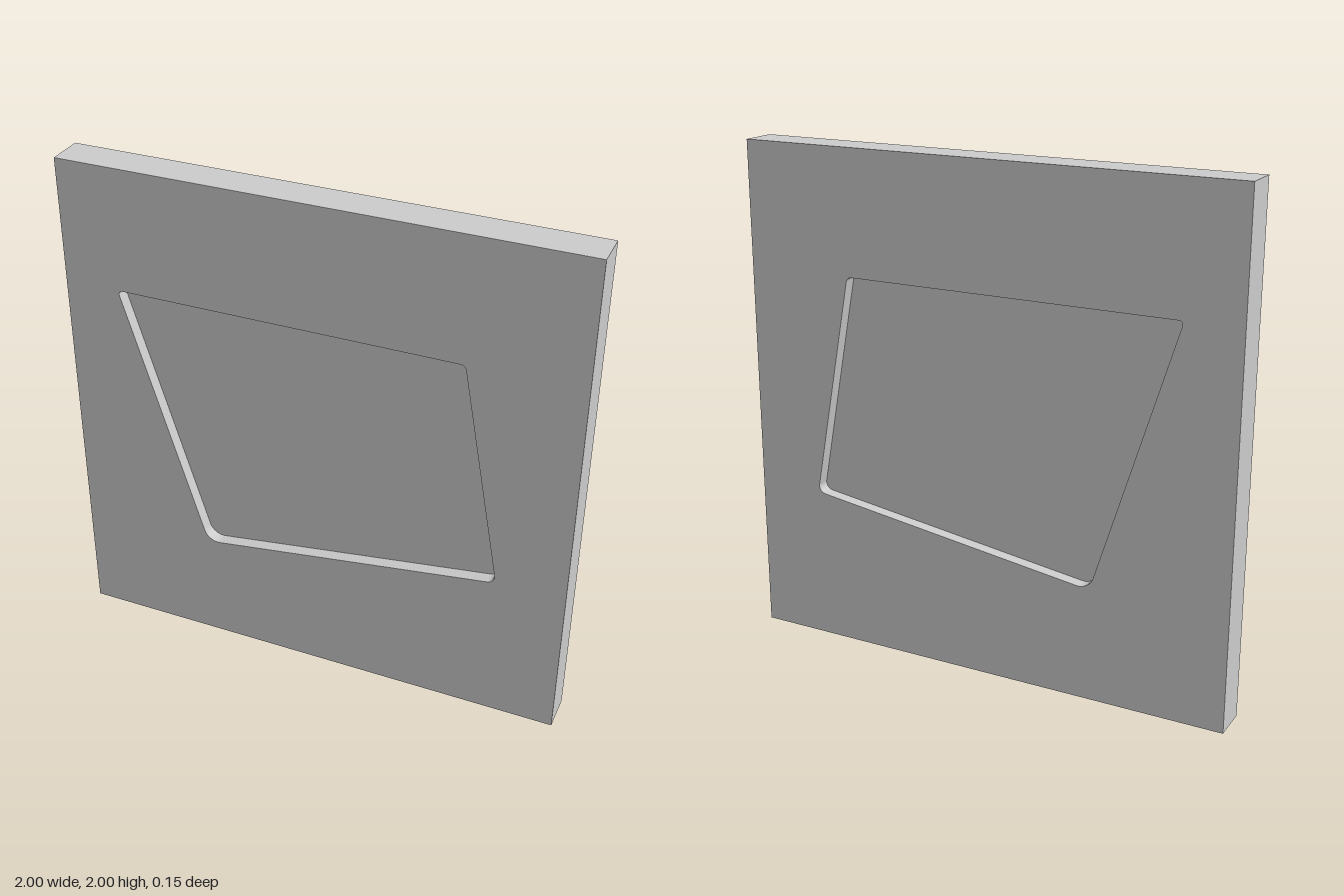
import * as THREE from 'three';

const THICKNESS = 0.146;
const WEB = 0.046;

// Pocket corners, counter-clockwise: x, y, length trimmed for the rounding
const CORNERS = [
  [-0.457, 0.45, 0.05],
  [0.733, 0.619, 0.033],
  [0.566, 1.513, 0.017],
  [-0.783, 1.513, 0.02],
];

// Trace a closed polygon with rounded corners onto a Path or Shape
function roundedPolygon(path, corners) {
  const n = corners.length;
  const pts = corners.map(([x, y]) => new THREE.Vector2(x, y));
  for (let i = 0; i < n; i++) {
    const p = pts[i];
    const trim = corners[i][2];
    const toward = (q, d) => q.clone().sub(p).setLength(d).add(p);
    const prev = pts[(i + n - 1) % n];
    const next = pts[(i + 1) % n];
    const a = toward(prev, trim), b = toward(next, trim);
    const c1 = toward(prev, trim * 0.45), c2 = toward(next, trim * 0.45);
    if (i === 0) path.moveTo(a.x, a.y);
    else path.lineTo(a.x, a.y);
    path.bezierCurveTo(c1.x, c1.y, c2.x, c2.y, b.x, b.y);
  }
  path.closePath();
  return path;
}

// Extrude a shape to a depth centred on z = 0
function slab(name, shape, depth, material) {
  const geometry = new THREE.ExtrudeGeometry(shape, { depth, bevelEnabled: false, curveSegments: 8 });
  geometry.translate(0, 0, -depth / 2);
  const mesh = new THREE.Mesh(geometry, material);
  mesh.name = name;
  return mesh;
}

export function createModel() {
  const group = new THREE.Group();
  group.name = 'pocketedPlate';
  const material = new THREE.MeshStandardMaterial({ color: 0xcccccc });

  // Square plate with the pocket outline cut through
  const plate = new THREE.Shape([
    new THREE.Vector2(-1, 0),
    new THREE.Vector2(1, 0),
    new THREE.Vector2(1, 2),
    new THREE.Vector2(-1, 2),
  ]);
  plate.holes.push(roundedPolygon(new THREE.Path(), CORNERS));
  group.add(slab('plate', plate, THICKNESS, material));

  // Thin web that floors the pocket on both faces
  group.add(slab('pocketFloor', roundedPolygon(new THREE.Shape(), CORNERS), WEB, material));

  return group;
}
